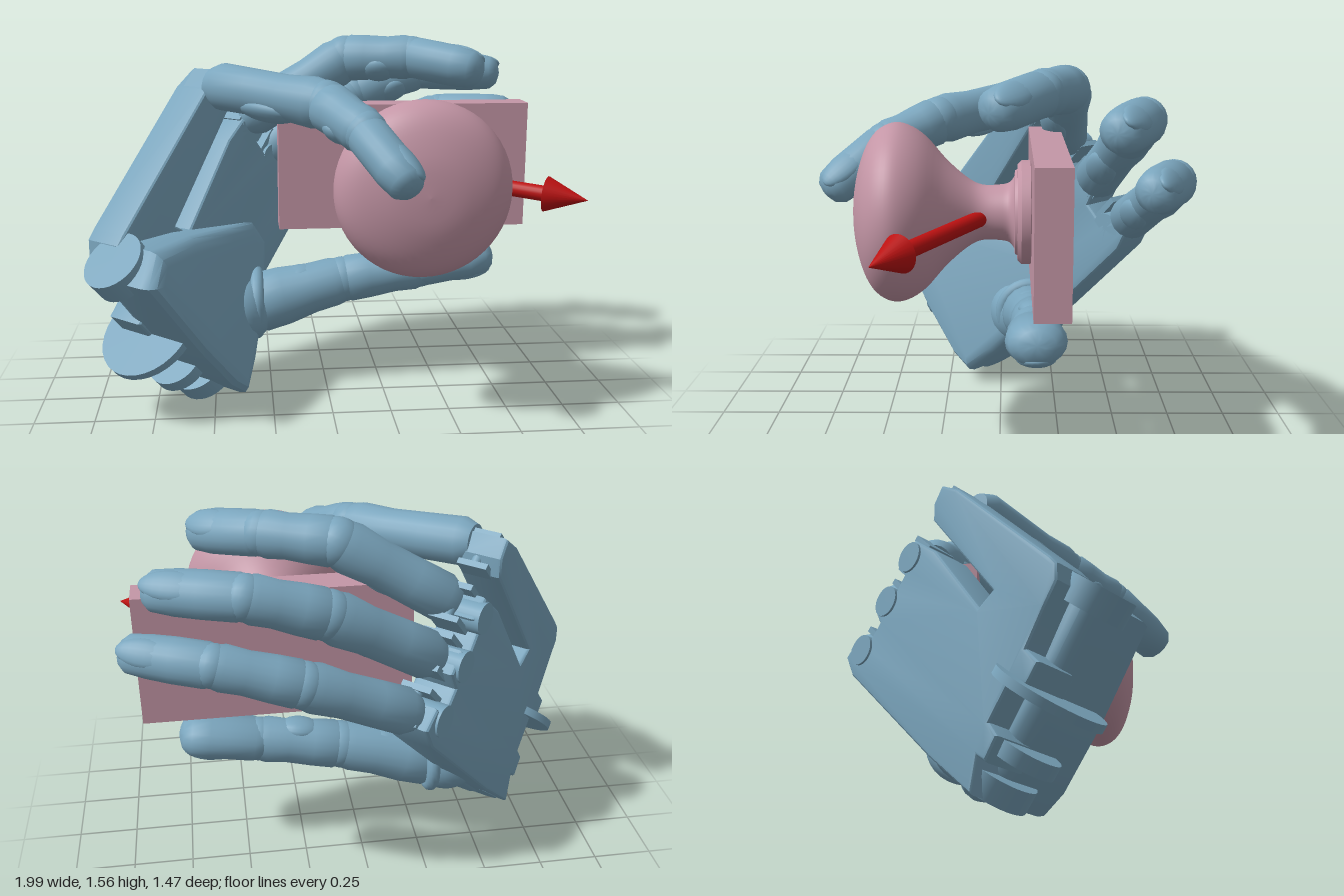
import * as THREE from 'three';
import { toCreasedNormals } from 'three/addons/utils/BufferGeometryUtils.js';

const V = (a) => new THREE.Vector3(...a);
const UP = new THREE.Vector3(0, 1, 0);
const blue = new THREE.MeshStandardMaterial({ color: 0x7ba6be, side: THREE.DoubleSide });
const pink = new THREE.MeshStandardMaterial({ color: 0xc496a6, side: THREE.DoubleSide });
const red = new THREE.MeshStandardMaterial({ color: 0xbb1111 });

function add(parent, name, geometry, material, pos = [0, 0, 0]) {
  const m = new THREE.Mesh(geometry, material);
  m.name = name;
  m.position.set(...pos);
  parent.add(m);
  return m;
}

// Smooth turned solid from [radius, height] pairs
function lathe(points, sides = 20) {
  const g = new THREE.LatheGeometry(points.map(([r, y]) => new THREE.Vector2(r, y)), sides);
  return toCreasedNormals(g, 0.7);
}

// Bevelled plate standing in the local x-y plane, from z0 to z1
function slab(points, z0, z1, bevel) {
  const shape = new THREE.Shape(points.map(([x, y]) => new THREE.Vector2(x, y)));
  const g = new THREE.ExtrudeGeometry(shape, {
    depth: z1 - z0 - 2 * bevel, bevelSize: bevel, bevelThickness: bevel,
    bevelOffset: -bevel, bevelSegments: 3,
  });
  return g.translate(0, 0, z0 + bevel);
}

// Straight part from a to b
function between(parent, name, a, b, geometry, material) {
  const m = add(parent, name, geometry, material, a.toArray());
  m.quaternion.setFromUnitVectors(UP, b.clone().sub(a).normalize());
  return m;
}

// Finger of three bones; pads lie on the inside of the bend, the nail outside
function finger(name, joints, radii, nailOut, tipWidth = 1) {
  const g = new THREE.Group();
  g.name = name;
  const p = joints.map(V);
  const along = (i) => p[i + 1].clone().sub(p[i]).normalize();
  const outside = nailOut ? V(nailOut) : along(0).sub(along(2));
  for (let i = 0; i < 3; i++) {
    const L = p[i].distanceTo(p[i + 1]), r = radii[i], q = radii[i + 1];
    const dir = along(i);
    const out = outside.clone().addScaledVector(dir, -outside.dot(dir)).normalize();
    const bone = new THREE.Group();
    bone.name = i < 2 ? 'fingerSegment' : 'fingertip';
    bone.position.copy(p[i]);
    bone.quaternion.setFromRotationMatrix(
      new THREE.Matrix4().makeBasis(dir.clone().cross(out), dir, out));
    g.add(bone);
    if (i < 2) {
      add(bone, 'fingerBone', lathe([
        [0, -r * 0.3], [r * 0.75, -r * 0.25], [r, r * 0.3], [r * 0.97, L * 0.35],
        [(r + q) * 0.47, L * 0.65], [q * 1.04, L * 0.9], [q * 0.9, L + q * 0.2], [0, L + q * 0.3],
      ]), blue);
      add(bone, 'fingerPad', new THREE.SphereGeometry(1, 18, 12), blue, [0, L * 0.52, -q * 0.72])
        .scale.set(q * 0.72, L * 0.25, q * 0.42);
      add(bone, 'fingerJoint', new THREE.SphereGeometry(q * 0.98, 20, 14), blue, [0, L, 0]);
    } else {
      const tip = L + q * 0.55;
      bone.scale.x = tipWidth;
      add(bone, 'tipBody', lathe([
        [0, -r * 0.3], [r * 0.85, -r * 0.2], [r * 1.02, r * 0.25], [r * 1.02, L * 0.45],
        [q * 1.08, L * 0.75], [q * 0.95, L + q * 0.05], [q * 0.65, L + q * 0.38], [q * 0.3, tip - 0.005], [0, tip],
      ]), blue).scale.z = 0.92;
      add(bone, 'fingernail', new THREE.SphereGeometry(1, 18, 12), blue, [0, L * 0.74, q * 0.66])
        .scale.set(q * 0.72, L * 0.38, q * 0.36);
    }
  }
  return g;
}

// Palm plate, heel, wrist lugs and knuckle hinges.
// Local axes: x across towards the little finger, y up, z out of the palm.
function palm() {
  const g = new THREE.Group();
  g.name = 'palm';
  g.position.set(-0.8, 0, 0);
  g.rotation.y = 0.829;

  const plate = slab([
    [0.13, 0.04], [0.36, 0.24], [0.87, 0.74], [0.92, 0.84], [0.84, 0.9], [0.77, 0.85],
    [0.7, 0.92], [0.74, 1.0], [0.66, 1.07], [0.6, 1.03], [0.54, 1.1], [0.58, 1.17], [0.49, 1.23],
    [0.36, 1.12], [0.1, 0.76], [0.03, 0.8], [0.38, 1.27], [0.38, 1.35], [0.33, 1.42], [0.23, 1.35],
    [-0.26, 0.82], [-0.29, 0.78], [-0.29, 0.71], [-0.23, 0.63], [-0.14, 0.5], [-0.2, 0.43],
    [-0.14, 0.36], [-0.06, 0.4], [0.04, 0.28], [0.0, 0.22], [0.06, 0.14], [0.1, 0.17],
  ], 0, 0.19, 0.018);
  add(g, 'palmPlate', toCreasedNormals(plate, 0.5), blue);

  // heel pad, thickest at the wrist and fading towards the fingers
  const heel = slab([
    [-0.36, 0.66], [-0.26, 0.78], [0.0, 0.78], [0.3, 0.75], [0.5, 0.73], [0.58, 0.62], [0.5, 0.44],
    [0.42, 0.31], [0.3, 0.17], [0.18, 0.06], [0.08, 0.13], [-0.1, 0.33],
  ], 0.1, 0.4, 0.06);
  const v = heel.attributes.position;
  for (let i = 0; i < v.count; i++) {
    const u = v.getX(i) * 0.74 + v.getY(i) * 0.68;
    const top = 0.46 - (u - 0.17) * 0.37;
    v.setZ(i, 0.1 + (v.getZ(i) - 0.1) * (top - 0.1) / 0.3);
  }
  heel.computeVertexNormals();
  add(g, 'palmHeel', toCreasedNormals(heel, 0.6), blue);

  // rounded wrist lugs: x, y, z, radius, thickness
  [[-0.3, 0.7, 0.2, 0.13, 0.1], [-0.11, 0.37, 0.15, 0.22, 0.035],
    [0.03, 0.2, 0.17, 0.13, 0.06], [0.17, 0.13, 0.17, 0.14, 0.09]].forEach(([x, y, z, r, t]) => {
    between(g, 'wristLug', new THREE.Vector3(x, y, z), new THREE.Vector3(x - 0.68, y + 0.74, z),
      new THREE.CylinderGeometry(r, r, t, 32), blue);
  });

  // knuckle caps on the back, with pin and ears of each hinge
  [[0.8, 0.83], [0.65, 1.0], [0.51, 1.15], [0.29, 1.29]].forEach(([x, y], i) => {
    const hinge = new THREE.Group();
    hinge.name = 'knuckleHinge';
    hinge.position.set(x, y, 0.09);
    hinge.rotation.z = -0.75;
    g.add(hinge);
    if (i < 3) {
      add(hinge, 'knuckleCap', new THREE.CylinderGeometry(0.065, 0.065, 0.2, 24), blue).rotation.x = Math.PI / 2;
    }
    for (const side of [-1, 1]) {
      add(hinge, 'hingeEar', new THREE.BoxGeometry(0.025, 0.12, 0.13), blue, [side * 0.07, 0.05, 0.02]);
    }
    add(hinge, 'hingePin', new THREE.CylinderGeometry(0.022, 0.022, 0.16, 12), blue, [0, 0.08, 0.02])
      .rotation.z = Math.PI / 2;
  });
  return g;
}

function hand() {
  const g = new THREE.Group();
  g.name = 'hand';
  g.add(palm());
  g.add(finger('indexFinger',
    [[-0.46, 1.36, -0.1], [-0.03, 1.32, 0.26], [0.1, 1.24, 0.47], [0.23, 1.08, 0.67]], [0.1, 0.1, 0.09, 0.085]));
  g.add(finger('middleFinger',
    [[-0.33, 1.2, -0.29], [0.1, 1.46, -0.27], [0.38, 1.47, -0.16], [0.61, 1.43, 0.01]], [0.1, 0.1, 0.092, 0.086]));
  g.add(finger('ringFinger',
    [[-0.24, 1.03, -0.43], [0.17, 1.28, -0.52], [0.47, 1.38, -0.54], [0.79, 1.375, -0.42]], [0.1, 0.1, 0.09, 0.082]));
  g.add(finger('littleFinger',
    [[-0.13, 0.87, -0.57], [0.28, 1.07, -0.65], [0.6, 1.17, -0.64], [0.89, 1.185, -0.53]], [0.095, 0.093, 0.085, 0.076]));
  g.add(finger('thumb',
    [[-0.33, 0.37, -0.14], [0.08, 0.475, -0.15], [0.43, 0.53, -0.14], [0.71, 0.58, -0.14]],
    [0.135, 0.105, 0.096, 0.096], [0.3, -1, 0], 1.15));

  // thumb root with collar
  add(g, 'thumbRoot', new THREE.SphereGeometry(0.165, 28, 20), blue, [-0.4, 0.36, -0.11]);
  add(g, 'thumbCollar', new THREE.TorusGeometry(0.135, 0.03, 12, 32), blue, [-0.31, 0.38, -0.14])
    .rotation.set(0, Math.PI / 2, 0.3);
  return g;
}

function knob() {
  const g = new THREE.Group();
  g.name = 'knob';
  add(g, 'backPlate', new THREE.BoxGeometry(1.1, 0.55, 0.135), pink, [0.345, 0.995, -0.19]);
  // smooth bulb and neck over a stepped flange
  const bulb = new THREE.SplineCurve([
    [0.155, -0.065], [0.12, -0.04], [0.11, 0.0], [0.11, 0.07], [0.14, 0.13], [0.21, 0.21],
    [0.3, 0.29], [0.345, 0.36], [0.352, 0.42], [0.32, 0.48], [0.25, 0.525], [0.13, 0.56], [0, 0.57],
  ].map(([r, y]) => new THREE.Vector2(r, y))).getPoints(48);
  bulb[48].x = 0;
  add(g, 'knobBody', new THREE.LatheGeometry(bulb, 56), pink, [0.34, 1, 0]).rotation.x = Math.PI / 2;
  add(g, 'knobFlange', lathe([
    [0, -0.13], [0.195, -0.13], [0.205, -0.12], [0.205, -0.085], [0.19, -0.07], [0.17, -0.07],
    [0.165, -0.06], [0.12, -0.055], [0, -0.055],
  ], 56), pink, [0.34, 1, 0]).rotation.x = Math.PI / 2;
  return g;
}

function arrow() {
  const g = new THREE.Group();
  g.name = 'directionArrow';
  const a = new THREE.Vector3(0.34, 1.0, 0.02), tip = new THREE.Vector3(0.995, 0.95, 0.435);
  const L = a.distanceTo(tip), h = 0.17;
  between(g, 'arrowShaft', a, tip,
    new THREE.CylinderGeometry(0.032, 0.032, L - h, 20).translate(0, (L - h) / 2, 0), red);
  between(g, 'arrowHead', a, tip, new THREE.ConeGeometry(0.072, h, 28).translate(0, L - h / 2, 0), red);
  return g;
}

export function createModel() {
  const model = new THREE.Group();
  model.name = 'handHoldingKnob';
  model.add(hand(), knob(), arrow());
  return model;
}
